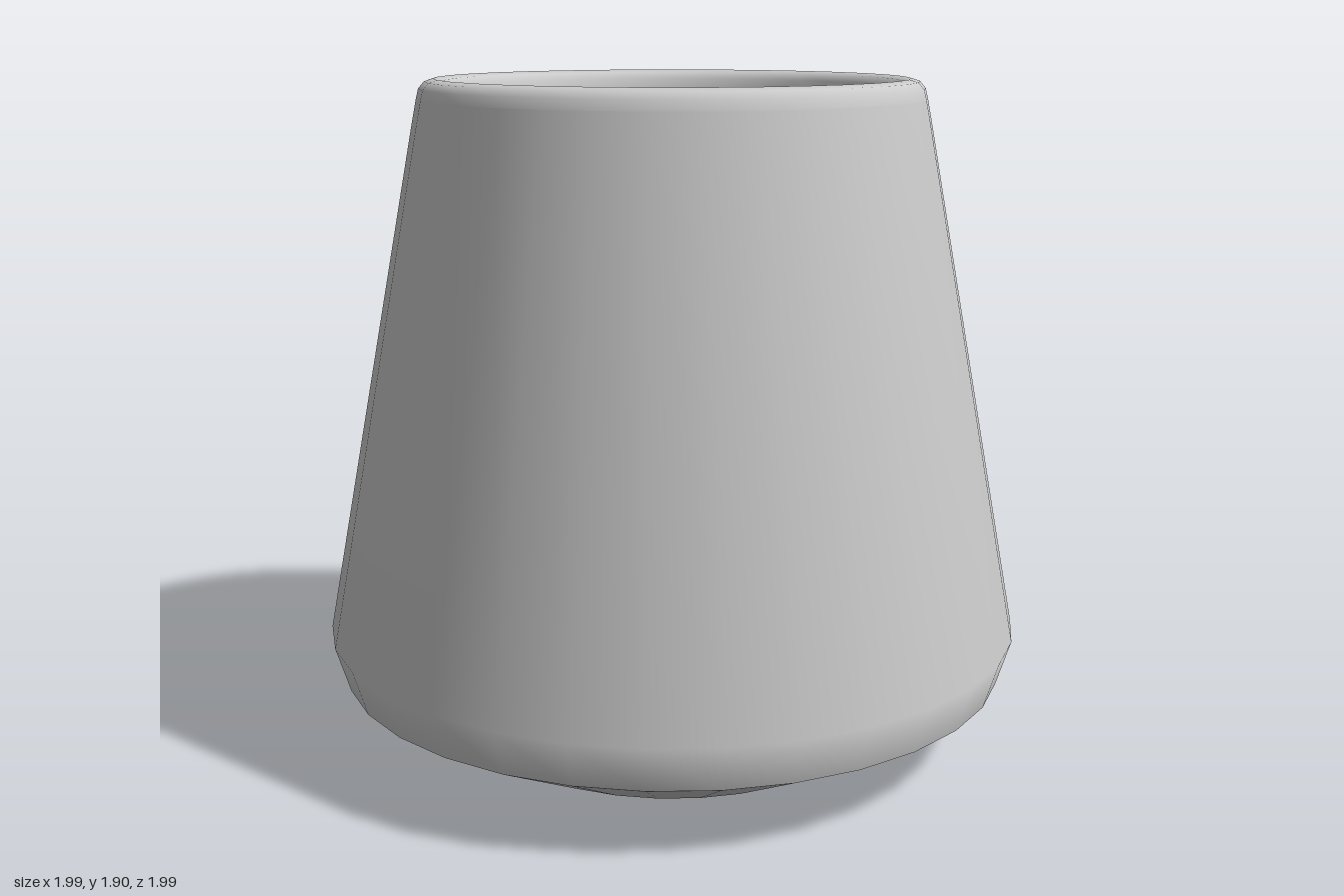
import * as THREE from 'three';

const SEGMENTS = 32;
const TURN = -0.08; // small rotation of the facets about the axis

// Revolves a profile of [radius, height] pairs; a crease falls where one profile meets the next.
function addLathe(parent, name, profile, material) {
  const points = profile.map(([r, y]) => new THREE.Vector2(r, y));
  const mesh = new THREE.Mesh(new THREE.LatheGeometry(points, SEGMENTS, TURN), material);
  mesh.name = name;
  parent.add(mesh);
}

export function createModel() {
  const model = new THREE.Group();
  model.name = 'taperedCup';
  const material = new THREE.MeshStandardMaterial({ color: 0xcccccc });

  // Closed underside: flat foot running into a sloping cone up to the lip
  addLathe(model, 'foot', [[0, 0], [0.58, 0], [0.96, 0.2]], material);

  // Tapered outer wall with its small lower bevel
  addLathe(model, 'outerWall', [
    [0.96, 0.2], [1, 0.33], [0.725, 1.77], [0.71, 1.845],
  ], material);

  // Rounded rim
  addLathe(model, 'rim', [
    [0.71, 1.845], [0.703, 1.873], [0.687, 1.892], [0.662, 1.9],
    [0.639, 1.892], [0.625, 1.873], [0.62, 1.84],
  ], material);

  // Cavity, shaded smoothly from wall to floor
  addLathe(model, 'cavity', [[0.62, 1.84], [0.62, 0.3], [0, 0.3]], material);

  return model;
}
